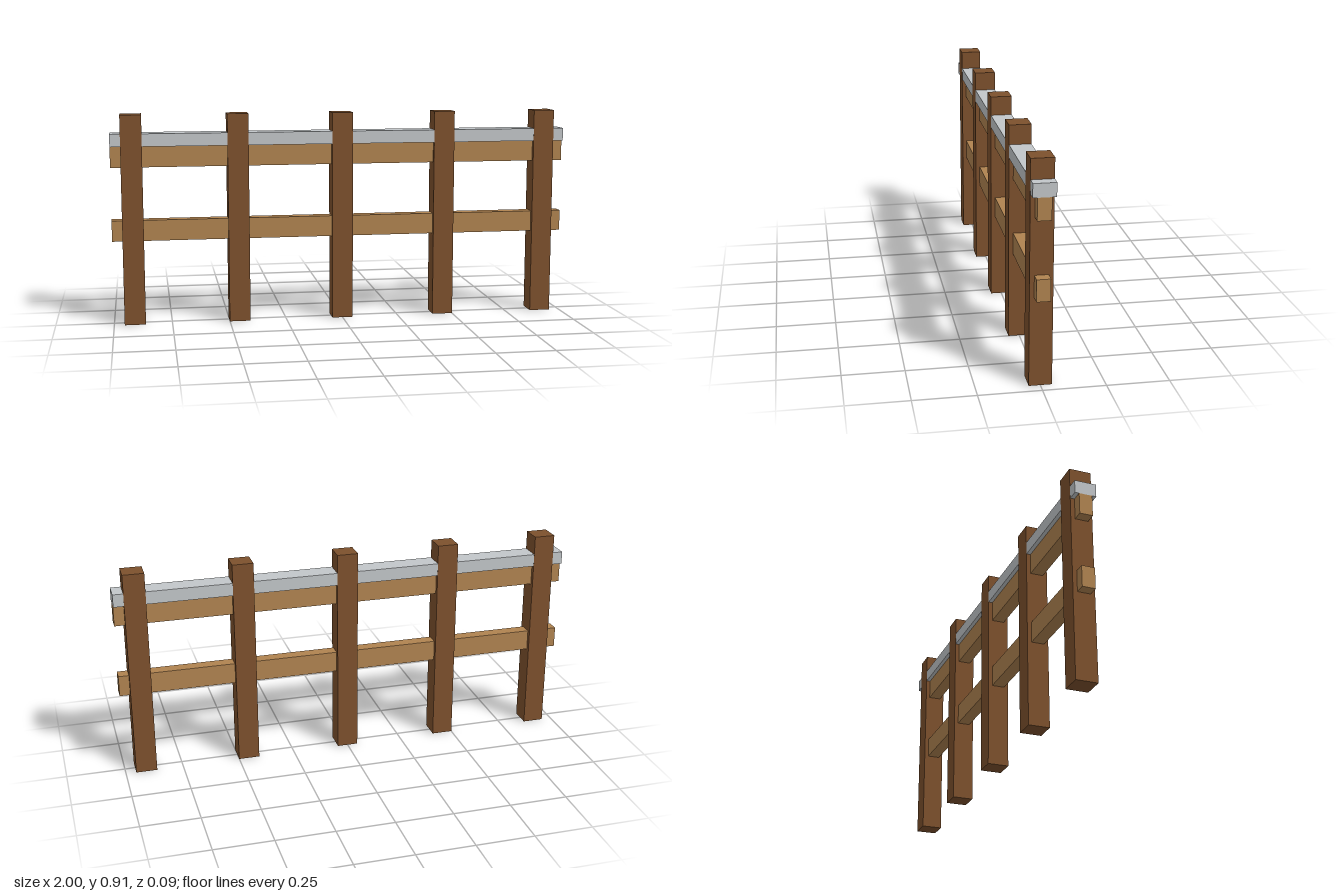
import * as THREE from 'three';

export function createModel() {
  const fence = new THREE.Group();
  fence.name = 'fence';

  const material = (name, color) => {
    const m = new THREE.MeshStandardMaterial({ color });
    m.name = name;
    return m;
  };
  const darkWood = material('dark wood', 0x7d512d);
  const lightWood = material('light wood', 0xb08350);
  const paleGrey = material('pale grey', 0xc2c6c9);

  // Box placed by its centre in x and its bottom in y
  const addBox = (name, mat, width, height, depth, x, bottom) => {
    const mesh = new THREE.Mesh(new THREE.BoxGeometry(width, height, depth), mat);
    mesh.name = name;
    mesh.position.set(x, bottom + height / 2, 0);
    fence.add(mesh);
  };

  // Five square posts
  const postSpacing = 0.455;
  for (let i = -2; i <= 2; i++) {
    addBox(`post${i + 3}`, darkWood, 0.091, 0.91, 0.091, i * postSpacing, 0);
  }

  // Two thin rails through the posts
  addBox('lowerRail', lightWood, 2, 0.09, 0.055, 0, 0.365);
  addBox('upperRail', lightWood, 2, 0.09, 0.055, 0, 0.684);

  // Grey top bar, a hair shallower than the posts so their faces stay clean
  addBox('topBar', paleGrey, 2, 0.055, 0.09, 0, 0.774);

  return fence;
}
